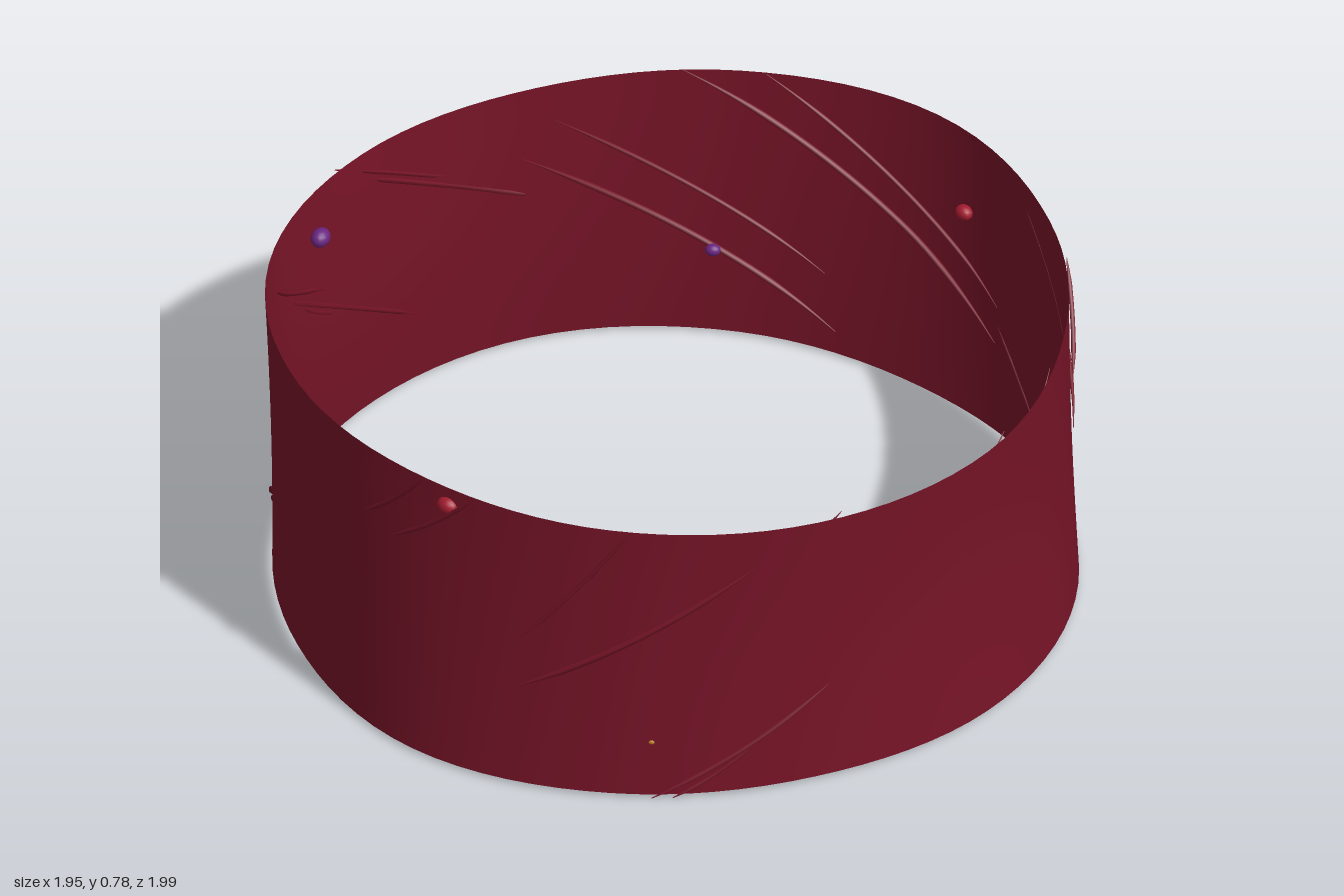
import * as THREE from 'three';
import { mergeVertices } from 'three/addons/utils/BufferGeometryUtils.js';

const BOTTOM = 0.018, TOP = 0.785;
const RAD = Math.PI / 180;

// Radius of the top and bottom rim, every 30 degrees from +z towards +x
const rims = new THREE.CatmullRomCurve3([
  [0.94, 0.994], [0.955, 0.966], [0.973, 0.947], [0.973, 0.97],
  [0.945, 0.974], [0.96, 0.955], [0.997, 0.932], [0.966, 0.96],
  [0.942, 0.987], [0.966, 0.979], [0.987, 0.968], [0.964, 0.968],
].map(([top, bottom]) => new THREE.Vector3(top, bottom, 0)), true, 'catmullrom', 0.5);

// Radius of the wavy band at an angle (degrees) and a height, with a slight waist at the sides
function bandRadius(deg, y) {
  const rim = rims.getPoint((((deg % 360) + 360) % 360) / 360);
  const t = THREE.MathUtils.clamp((y - BOTTOM) / (TOP - BOTTOM), 0, 1);
  const waist = 0.016 * Math.sin(Math.PI * t) * Math.sin(deg * RAD) ** 4;
  return THREE.MathUtils.lerp(rim.y, rim.x, t) - waist;
}

function polar(deg, y, r) {
  return new THREE.Vector3(r * Math.sin(deg * RAD), y, r * Math.cos(deg * RAD));
}

function buildBand(material) {
  let g = new THREE.CylinderGeometry(1, 1, TOP - BOTTOM, 96, 12, true);
  const pos = g.attributes.position;
  for (let i = 0; i < pos.count; i++) {
    const deg = Math.atan2(pos.getX(i), pos.getZ(i)) / RAD;
    const y = pos.getY(i) + (TOP + BOTTOM) / 2;
    const v = polar(deg, y, bandRadius(deg, y));
    pos.setXYZ(i, v.x, v.y, v.z);
  }
  g.deleteAttribute('uv');
  g.deleteAttribute('normal');
  g = mergeVertices(g);
  g.computeVertexNormals();
  const mesh = new THREE.Mesh(g, material);
  mesh.name = 'band';
  return mesh;
}

// Slanted strand along one side of the band, tapering to both ends.
// It keeps a near-constant radius, so it stands off where the band waves away.
function buildStrand([a0, y0, a1, y1, thick], outside, material) {
  const points = [];
  for (let i = 0; i <= 12; i++) {
    const t = i / 12;
    const deg = THREE.MathUtils.lerp(a0, a1, t);
    const y = Math.max(THREE.MathUtils.lerp(y0, y1, t) - 0.012 * Math.sin(Math.PI * t), 0.01);
    const r = bandRadius(deg, y);
    points.push(polar(deg, y, outside ? Math.max(r + thick * 0.6, 0.957) : Math.min(r - thick * 1.2, 0.957)));
  }
  const curve = new THREE.CatmullRomCurve3(points);
  const segs = 32, sides = 6;
  const g = new THREE.TubeGeometry(curve, segs, thick, sides, false);
  const pos = g.attributes.position, v = new THREE.Vector3();
  for (let i = 0; i <= segs; i++) {
    const c = curve.getPointAt(i / segs);
    const k = Math.min(1, 0.15 + 4 * Math.min(i, segs - i) / segs);
    for (let j = 0; j <= sides; j++) {
      const n = i * (sides + 1) + j;
      v.fromBufferAttribute(pos, n).sub(c).multiplyScalar(k).add(c);
      pos.setXYZ(n, v.x, v.y, v.z);
    }
  }
  return new THREE.Mesh(g, material);
}

export function createModel() {
  const model = new THREE.Group();
  const cloth = new THREE.MeshStandardMaterial({ color: 0x771427, side: THREE.DoubleSide });
  model.add(buildBand(cloth));

  // Strands: start angle, start height, end angle, end height, thickness
  const outer = [
    [16, 0.29, 51, 0.68, 0.009], [16, 0.42, 33, 0.785, 0.006],
    [-12, 0.6, 0, 0.79, 0.006], [-6, 0.58, 9, 0.79, 0.006],
    [36, 0.01, 62, 0.29, 0.007], [39, 0.01, 52, 0.17, 0.006],
    [291, 0.01, 306, 0.2, 0.009], [293, 0.01, 304, 0.15, 0.007],
    [276, 0.38, 288, 0.52, 0.007], [126, 0.6, 140, 0.79, 0.006],
    [128, 0.43, 164, 0.77, 0.006], [146, 0.01, 168, 0.36, 0.008],
    [147, 0.01, 172, 0.28, 0.007], [236, 0.43, 273, 0.74, 0.01],
    [238, 0.47, 276, 0.79, 0.008], [254, 0.17, 296, 0.62, 0.009],
  ];
  const inner = [
    [195, 0.085, 242, 0.585, 0.008], [197, 0.24, 237, 0.68, 0.006],
    [165, 0.27, 218, 0.79, 0.008], [165, 0.37, 206, 0.79, 0.006],
    [51, 0.135, 95, 0.79, 0.008], [59, 0.245, 112, 0.79, 0.006],
    [50, 0.6, 64, 0.79, 0.006], [348, 0.02, 387, 0.41, 0.009],
    [352, 0.08, 386, 0.37, 0.007], [307, 0.15, 358, 0.645, 0.009],
    [305, 0.18, 355, 0.66, 0.006], [281, 0.5, 304, 0.75, 0.007],
  ];
  for (const [name, list, outside] of [['outerStrands', outer, true], ['innerStrands', inner, false]]) {
    const group = new THREE.Group();
    group.name = name;
    list.forEach(s => group.add(buildStrand(s, outside, cloth)));
    model.add(group);
  }

  // Small coloured beads: x, y, z, radius, colour
  const red = 0xa31c30, teal = 0x1f7a85, amber = 0xc08028, violet = 0x6a2580;
  const beads = new THREE.Group();
  beads.name = 'beads';
  const sphere = new THREE.SphereGeometry(1, 14, 10);
  const materials = new Map([red, teal, amber, violet]
    .map(color => [color, new THREE.MeshStandardMaterial({ color })]));
  for (const [x, y, z, r, color] of [
    [0.065, 0.735, 0.94, 0.028, red], [0.14, 0.6, -0.925, 0.024, red],
    [0.88, 0.4, -0.235, 0.024, red], [0.63, 0.45, -0.67, 0.02, teal],
    [0.805, 0.5, 0.425, 0.015, teal], [0.56, 0.17, 0.772, 0.01, amber],
    [-0.21, 0.355, 0.9, 0.028, amber], [-0.91, 0.69, 0.23, 0.029, violet],
    [-0.52, 0.27, -0.78, 0.019, violet],
  ]) {
    const bead = new THREE.Mesh(sphere, materials.get(color));
    bead.position.set(x, y, z);
    bead.rotation.y = Math.atan2(x, z);
    bead.scale.set(r, r * 0.8, r * 0.8);
    beads.add(bead);
  }
  model.add(beads);
  return model;
}
